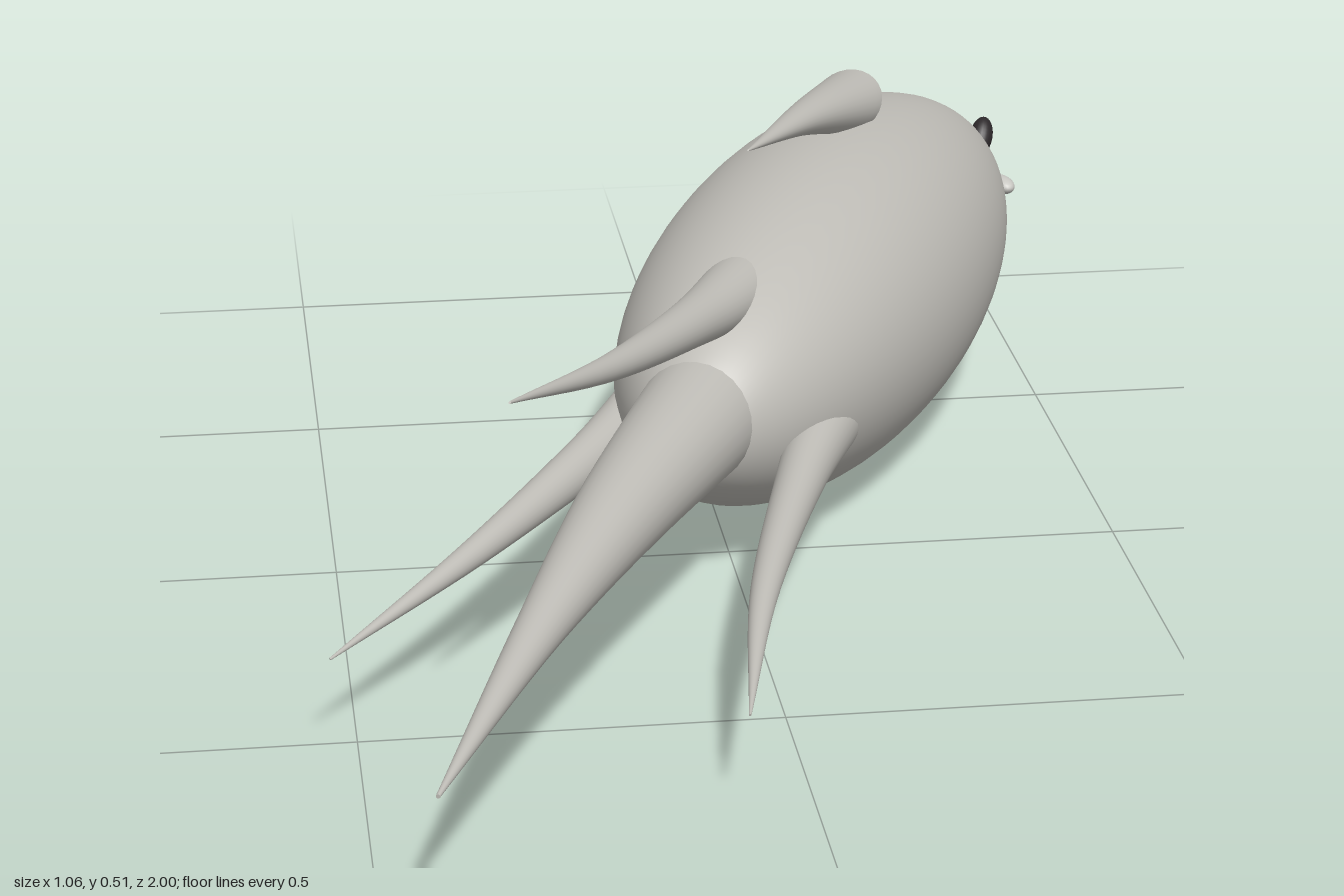
import * as THREE from 'three';

const skin = new THREE.MeshStandardMaterial({ name: 'pale grey skin', color: 0xbebcb6 });
const dark = new THREE.MeshStandardMaterial({ name: 'dark eye', color: 0x2c282a });
const light = new THREE.MeshStandardMaterial({ name: 'light spot', color: 0xc8c7c2 });

// Tapered horn along +z: oval rings leaning by tilt follow the path and shrink to a point
function taper(points, rx, ry, tilt, rows = 20, sides = 28) {
  const path = new THREE.CatmullRomCurve3(points.map(p => new THREE.Vector3(...p)));
  const pos = [], index = [];
  const ring = (t) => {
    const c = path.getPoint(t), k = 1 - 0.97 * t;
    for (let j = 0; j < sides; j++) {
      const a = (j / sides) * Math.PI * 2, v = Math.sin(a) * ry * k;
      pos.push(c.x + Math.cos(a) * rx * k, c.y + v * Math.cos(tilt), c.z - v * Math.sin(tilt));
    }
  };
  for (let i = 0; i <= rows; i++) ring(i / rows);
  for (let i = 0; i < rows; i++) {
    for (let j = 0; j < sides; j++) {
      const n = (j + 1) % sides, a = i * sides, b = a + sides;
      index.push(a + j, a + n, b + j, a + n, b + n, b + j);
    }
  }
  // flat caps on both ends, with their own vertices for a crisp rim
  for (const t of [0, 1]) {
    const start = pos.length / 3;
    ring(t);
    pos.push(...path.getPoint(t).toArray());
    for (let j = 0; j < sides; j++) {
      const n = (j + 1) % sides;
      if (t === 0) index.push(start + sides, start + n, start + j);
      else index.push(start + sides, start + j, start + n);
    }
  }
  const g = new THREE.BufferGeometry();
  g.setAttribute('position', new THREE.Float32BufferAttribute(pos, 3));
  g.setIndex(index);
  g.computeVertexNormals();
  return g;
}

export function createModel() {
  const model = new THREE.Group();
  model.name = 'swimmingCreature';

  // The creature lies along its own z axis (nose at -z), turned in the frame
  const creature = new THREE.Group();
  creature.name = 'creature';
  creature.position.set(0.177, 0.2125, -0.39);
  creature.rotation.y = THREE.MathUtils.degToRad(-25);
  model.add(creature);

  const add = (name, geometry, material) => {
    const mesh = new THREE.Mesh(geometry, material);
    mesh.name = name;
    creature.add(mesh);
    return mesh;
  };
  const blob = (name, material, radii, place) => {
    const mesh = add(name, new THREE.SphereGeometry(1, 24, 16), material);
    mesh.scale.set(...radii);
    mesh.position.set(...place);
    return mesh;
  };

  // Body
  const body = add('body', new THREE.SphereGeometry(1, 64, 40).rotateX(Math.PI / 2), skin);
  body.scale.set(0.212, 0.2125, 0.6);

  // Tail
  add('tail', taper([[0, 0.012, 0.5], [0, 0.004, 0.85], [0.01, -0.012, 1.15], [0.03, -0.042, 1.52]],
    0.08, 0.08, 0), skin);

  // Back fin
  add('backFin', taper([[-0.003, 0.222, -0.136], [-0.003, 0.262, 0.08], [-0.003, 0.292, 0.322]],
    0.048, 0.05, Math.PI / 4), skin);

  // Three rear fins around the body axis: one above, two low on the sides
  const rearFins = [['upperRearFin', 0, 1.205, 0.276], ['leftRearFin', -110, 1.135, 0.266], ['rightRearFin', 110, 1.135, 0.266]];
  for (const [name, angle, reach, spread] of rearFins) {
    const path = [[0, 0.125, 0.365], [0, 0.145, 0.55], [0, 0.195, 0.86], [0, spread, reach]];
    add(name, taper(path, 0.048, 0.057, Math.PI / 4), skin).rotation.z = THREE.MathUtils.degToRad(angle);
  }

  // Eyes and nose spots, floating just off the snout
  for (const [side, s] of [['left', 1], ['right', -1]]) {
    blob(side + 'Eye', dark, [0.017, 0.031, 0.017], [s * 0.066, 0.034, -0.617]).rotation.x = -0.7;
    blob(side + 'Spot', light, [0.017, 0.013, 0.029], [s * 0.115, -0.011, -0.542]).rotation.y = s * Math.PI / 4;
  }
  return model;
}
